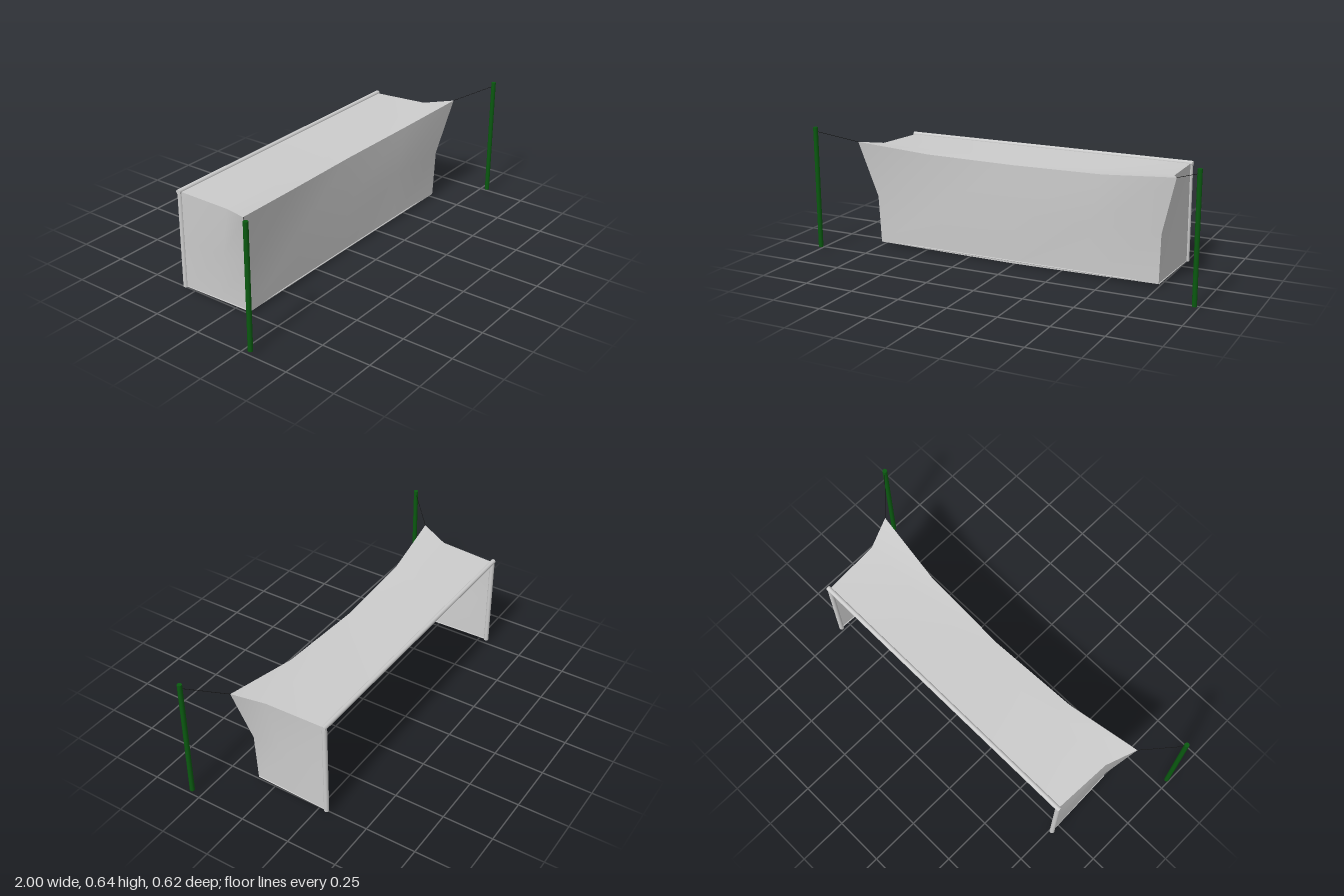
import * as THREE from 'three';

const material = (name, color, side = THREE.FrontSide) => {
  const m = new THREE.MeshStandardMaterial({ color, side });
  m.name = name;
  return m;
};

// Open sheet through rows of points, divided smoothly between them
function sheet(name, rows, mat) {
  const n = rows[0].length, positions = [], index = [];
  rows.forEach((row) => row.forEach((p) => positions.push(...p)));
  for (let r = 0; r < rows.length - 1; r++) {
    for (let c = 0; c < n - 1; c++) {
      const a = r * n + c, b = a + 1, d = a + n, e = d + 1;
      index.push(a, d, b, b, d, e);
    }
  }
  const g = new THREE.BufferGeometry();
  g.setAttribute('position', new THREE.Float32BufferAttribute(positions, 3));
  g.setIndex(index);
  g.computeVertexNormals();
  const mesh = new THREE.Mesh(g, mat);
  mesh.name = name;
  return mesh;
}

// Round bar between two points
function bar(name, from, to, radius, sides, mat) {
  const a = new THREE.Vector3(...from), b = new THREE.Vector3(...to);
  const dir = b.clone().sub(a);
  const mesh = new THREE.Mesh(new THREE.CylinderGeometry(radius, radius, dir.length(), sides), mat);
  mesh.position.copy(a).add(b).multiplyScalar(0.5);
  mesh.quaternion.setFromUnitVectors(new THREE.Vector3(0, 1, 0), dir.normalize());
  mesh.name = name;
  return mesh;
}

// Mirrors a half row (outer to centre) into a full row from -x to +x
const fullRow = (half) => [
  ...half.map(([x, y, z]) => [-x, y, z]),
  ...half.slice(0, -1).reverse(),
];

export function createModel() {
  const group = new THREE.Group();
  group.name = 'goal';
  const net = material('net grey', 0xcccccc, THREE.DoubleSide);
  const frame = material('frame grey', 0xcccccc);
  const green = material('pole green', 0x0a5a10);
  const black = material('cord black', 0x111111);

  // Shared edges of the stretched net
  const topBack = [[0.765, 0.513, -0.29], [0.4, 0.513, -0.29], [0, 0.513, -0.29]];
  const topMid = [[0.78, 0.522, 0], [0.42, 0.51, -0.01], [0, 0.506, -0.015]];
  const topFront = [[0.838, 0.551, 0.147], [0.46, 0.513, 0.097], [0, 0.504, 0.08]];
  const midFront = [[0.76, 0.265, 0.099], [0.4, 0.264, 0.09], [0, 0.262, 0.083]];
  const lowFront = [[0.752, 0.021, 0.092], [0.4, 0.013, 0.082], [0, 0.004, 0.07]];

  group.add(sheet('topNet', [topBack, topMid, topFront].map(fullRow), net));
  group.add(sheet('rearNet', [topFront, midFront, lowFront].map(fullRow), net));

  for (const s of [-1, 1]) {
    const m = ([x, y, z]) => [s * x, y, z];
    // Side net, running from the post to the stretched corner
    const rows = [
      [topBack[0], topMid[0], topFront[0]],
      [[0.765, 0.265, -0.29], [0.762, 0.265, -0.05], midFront[0]],
      [[0.765, 0.021, -0.29], [0.758, 0.021, -0.1], lowFront[0]],
    ].map((row) => (s > 0 ? row.slice().reverse() : row).map(m));
    group.add(sheet('sideNet', rows, net));

    group.add(bar('post', m([0.763, 0.02, -0.296]), m([0.763, 0.513, -0.296]), 0.012, 16, frame));
    group.add(bar('sideGroundBar', m([0.763, 0.0225, -0.29]), m([0.753, 0.0225, 0.089]), 0.003, 8, frame));

    // Tension pole and cord
    group.add(bar('pole', m([0.988, 0.02, 0.296]), m([0.988, 0.641, 0.296]), 0.0118, 8, green));
    group.add(bar('cord', m([0.985, 0.619, 0.292]), m([0.838, 0.551, 0.147]), 0.0012, 6, black));
  }

  group.add(bar('crossbar', [-0.775, 0.513, -0.296], [0.775, 0.513, -0.296], 0.012, 16, frame));
  group.add(bar('rearGroundBar', [-0.753, 0.0225, 0.087], [0.753, 0.0225, 0.087], 0.003, 8, frame));
  return group;
}
